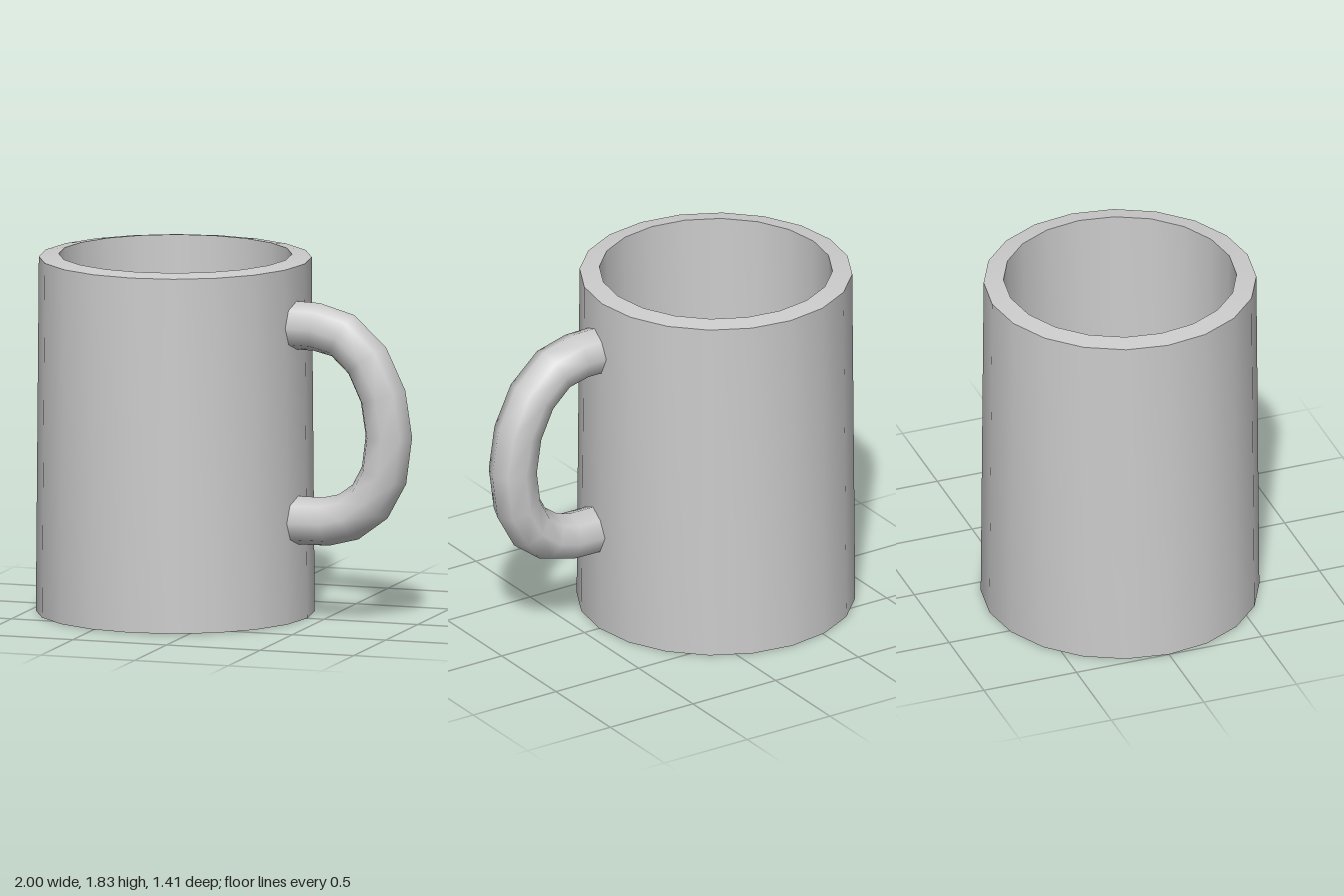
import * as THREE from 'three';
import { toCreasedNormals } from 'three/addons/utils/BufferGeometryUtils.js';

export function createModel() {
  const model = new THREE.Group();
  const material = new THREE.MeshStandardMaterial({ color: 0xcccccc });

  // Hollow cup: underside, outer wall, sloped rim, inner wall, floor
  const profile = [
    [0, 0], [0.705, 0], [0.69, 1.815], [0.59, 1.83], [0.565, 0.1], [0, 0.1],
  ].map(([r, y]) => new THREE.Vector2(r, y));
  const cup = new THREE.Mesh(toCreasedNormals(new THREE.LatheGeometry(profile, 20), 0.5), material);
  cup.name = 'cup';
  cup.position.x = -0.295;
  model.add(cup);

  // Handle: eight-sided tube with one ring per path point, ends sunk in the wall
  const path = [
    [0.33, 1.515], [0.49, 1.512], [0.63, 1.475], [0.76, 1.355], [0.845, 1.175], [0.876, 0.97],
    [0.85, 0.77], [0.775, 0.632], [0.66, 0.547], [0.54, 0.517], [0.33, 0.515],
  ].map(([x, y]) => new THREE.Vector3(x, y, 0));
  const curve = new THREE.CatmullRomCurve3(path);
  curve.getUtoTmapping = (u) => u; // keep the rings on the path points
  const handle = new THREE.Mesh(new THREE.TubeGeometry(curve, path.length - 1, 0.124, 8), material);
  handle.name = 'handle';
  handle.position.z = 0.087;
  model.add(handle);

  return model;
}
